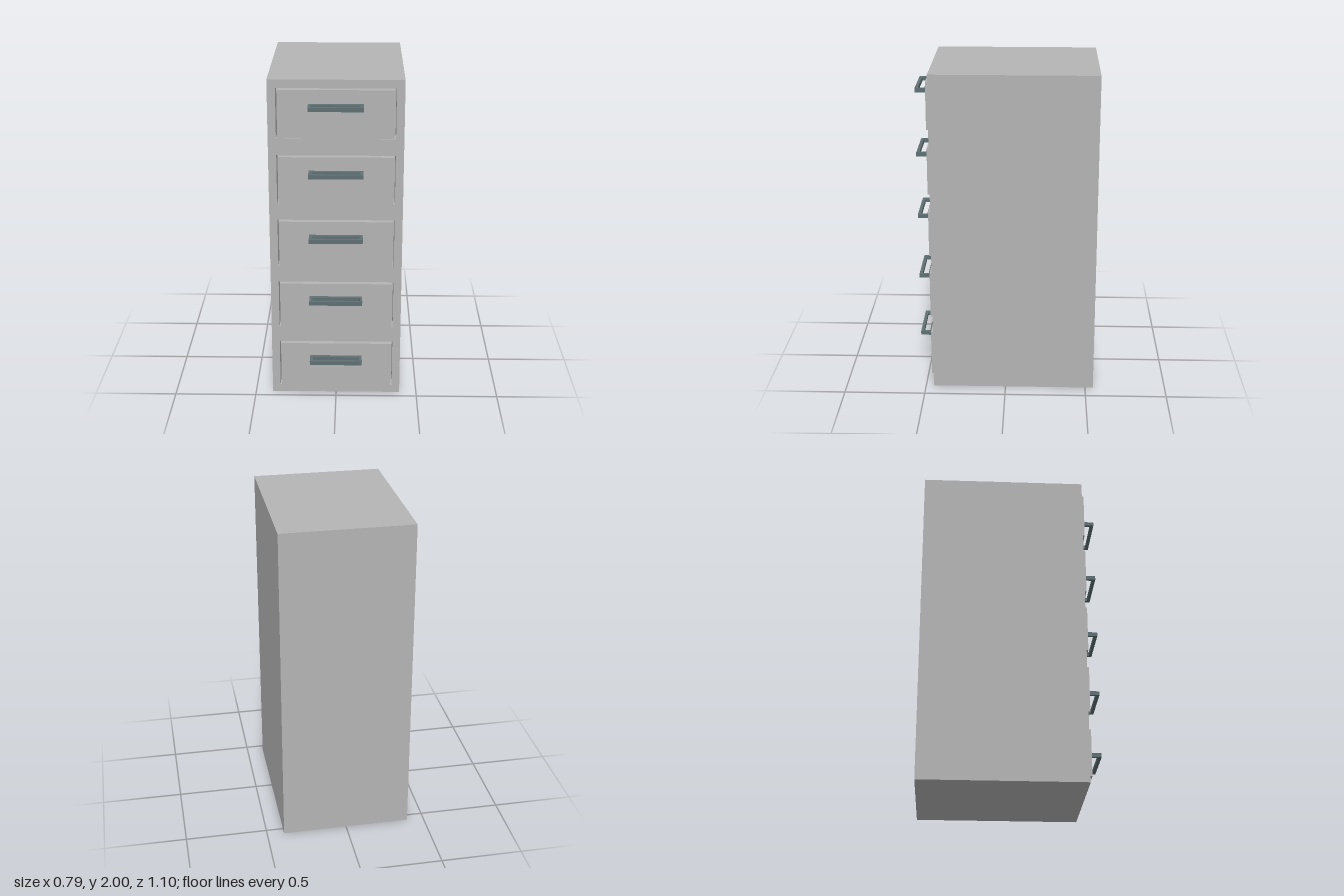
import * as THREE from 'three';

const W = 0.79, H = 2, BACK = -0.55, FRONT = 0.45;
const ROWS = 5, PITCH = 0.4, RECESS = 0.1;

// Rectangle outline centred on (x, y), for shapes and holes
function rect(Type, x, y, w, h) {
  return new Type().setFromPoints([
    new THREE.Vector2(x - w / 2, y - h / 2), new THREE.Vector2(x + w / 2, y - h / 2),
    new THREE.Vector2(x + w / 2, y + h / 2), new THREE.Vector2(x - w / 2, y + h / 2),
  ]);
}

export function createModel() {
  const grey = new THREE.MeshStandardMaterial({ color: 0xb4b4b4 });
  grey.name = 'cabinet grey';
  const slate = new THREE.MeshStandardMaterial({ color: 0x5f7073 });
  slate.name = 'handle slate';

  const model = new THREE.Group();
  model.name = 'drawerCabinet';
  const add = (name, geometry, material, x, y, z, parent = model) => {
    const mesh = new THREE.Mesh(geometry, material);
    mesh.name = name;
    mesh.position.set(x, y, z);
    parent.add(mesh);
    return mesh;
  };

  const rowY = Array.from({ length: ROWS }, (_, i) => 0.2 + i * PITCH);

  // Cabinet: solid body behind a front frame with one opening per drawer
  const bodyDepth = FRONT - RECESS - BACK;
  add('cabinetBody', new THREE.BoxGeometry(W, H, bodyDepth), grey, 0, H / 2, BACK + bodyDepth / 2);
  const frame = rect(THREE.Shape, 0, H / 2, W, H);
  for (const y of rowY) frame.holes.push(rect(THREE.Path, 0, y, 0.694, 0.3));
  add('frontFrame', new THREE.ExtrudeGeometry(frame, { depth: RECESS, bevelEnabled: false }),
    grey, 0, 0, FRONT - RECESS);

  // Drawer front, slightly proud of the frame with a thin gap around it
  const drawerDepth = RECESS + 0.018;
  const drawerGeometry = new THREE.BoxGeometry(0.676, 0.288, drawerDepth);

  // Handle: flat rectangular loop lying level
  const loop = rect(THREE.Shape, 0, 0, 0.318, 0.082);
  loop.holes.push(rect(THREE.Path, 0, 0.003, 0.282, 0.038));
  const handleGeometry = new THREE.ExtrudeGeometry(loop, { depth: 0.025, bevelEnabled: false });
  handleGeometry.translate(0, 0, -0.0125).rotateX(Math.PI / 2);

  for (const y of rowY) {
    const drawer = new THREE.Group();
    drawer.name = 'drawer';
    drawer.position.y = y;
    model.add(drawer);
    add('drawerFront', drawerGeometry, grey, 0, 0, FRONT - RECESS + drawerDepth / 2, drawer);
    add('drawerHandle', handleGeometry, slate, 0, 0.05, 0.509, drawer);
  }
  return model;
}
